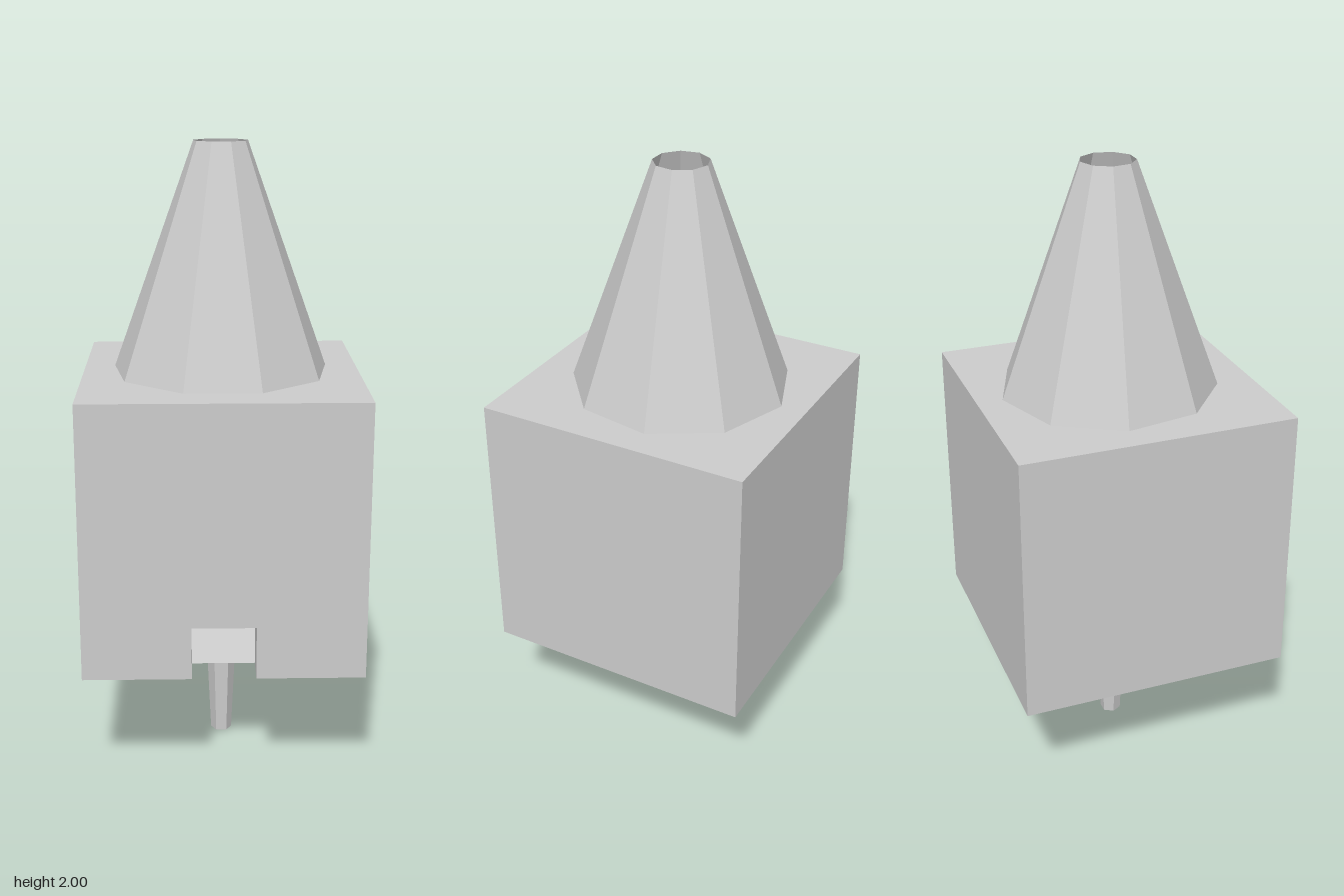
import * as THREE from 'three';

export function createModel() {
  const model = new THREE.Group();
  const grey = new THREE.MeshStandardMaterial({ color: 0xcccccc, flatShading: true, side: THREE.DoubleSide });
  grey.name = 'grey';

  const HALF = 0.44, WALL = 0.1, BASE = 0.4, TOP = 1.28, CENTRE_Z = -0.008;
  const INNER = HALF - WALL;

  function add(name, geometry, x = 0, y = 0, z = 0) {
    const mesh = new THREE.Mesh(geometry, grey);
    mesh.name = name;
    mesh.position.set(x, y, z);
    model.add(mesh);
    return mesh;
  }
  // Faceted turned part from [radius, height] pairs
  function turned(points, sides, start) {
    return new THREE.LatheGeometry(points.map(([r, y]) => new THREE.Vector2(r, y)), sides, start);
  }
  const extrude = (shape) => new THREE.ExtrudeGeometry(shape, { depth: WALL, bevelEnabled: false });
  const outline = (pairs) => new THREE.Shape(pairs.map(([x, y]) => new THREE.Vector2(x, y)));

  // Hollow square housing, open underneath, with a notch in the front wall
  const wallTop = TOP - WALL, midY = (BASE + wallTop) / 2, wallH = wallTop - BASE;
  add('frontWall', extrude(outline([
    [-HALF, BASE], [-0.1, BASE], [-0.1, 0.57], [0.1, 0.57], [0.1, BASE],
    [HALF, BASE], [HALF, wallTop], [-HALF, wallTop],
  ])), 0, 0, INNER);
  add('backWall', new THREE.BoxGeometry(2 * HALF, wallH, WALL), 0, midY, -HALF + WALL / 2);
  for (const s of [-1, 1]) {
    add(s > 0 ? 'leftWall' : 'rightWall', new THREE.BoxGeometry(WALL, wallH, 2 * INNER),
      s * (HALF - WALL / 2), midY, 0);
  }

  // Roof slab with an opening beneath the chimney
  const roof = outline([[-HALF, -HALF], [HALF, -HALF], [HALF, HALF], [-HALF, HALF]]);
  const hole = [];
  for (let i = 0; i < 9; i++) {
    const a = Math.PI / 2 - (i * 2 * Math.PI) / 9;
    hole.push(new THREE.Vector2(0.3 * Math.cos(a), 0.3 * Math.sin(a) - CENTRE_Z));
  }
  roof.holes.push(new THREE.Path(hole));
  add('roof', extrude(roof), 0, wallTop, 0).rotation.x = -Math.PI / 2;

  // Open nine-sided chimney
  add('chimney', turned([[0.349, TOP], [0.086, 2]], 9, Math.PI), -0.001, 0, CENTRE_Z);

  // Nine-sided hood inside the housing
  add('hood', turned([[0.37, 0.405], [0.29, 0.53], [0.11, 0.64]], 9, Math.PI), 0, 0, CENTRE_Z);

  // Six-sided tapering pipe with a collar at the top and a closed foot
  add('pipe', turned([
    [0, 0], [0.035, 0], [0.053, 0.4], [0.06, 0.56], [0.125, 0.62],
    [0.125, 0.645], [0.08, 0.645], [0.066, 0.6], [0.06, 0.56],
  ], 6, Math.PI / 2));

  return model;
}
